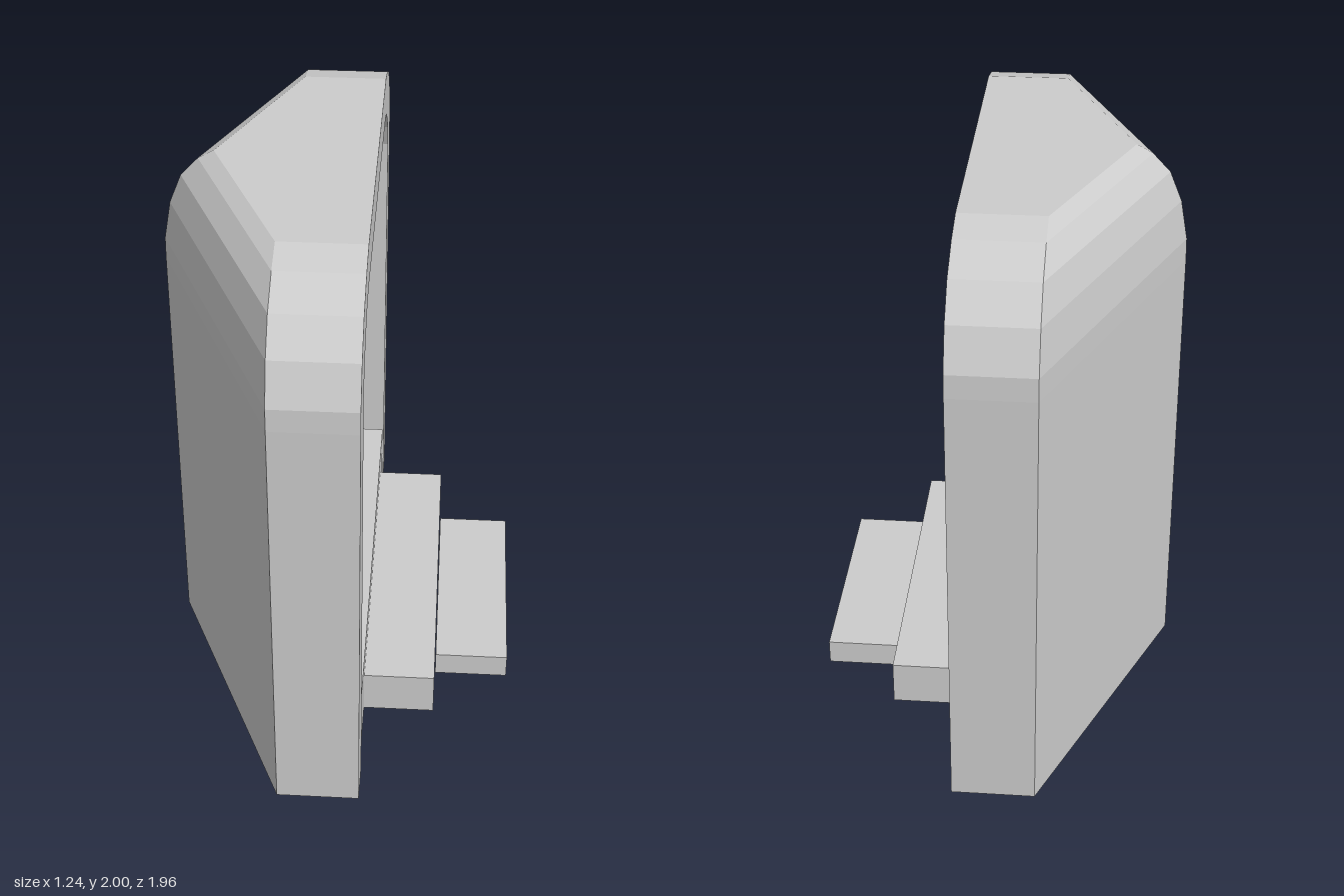
import * as THREE from 'three';

const FRONT = 0.107, SHOULDER = -0.18, SLOPE = 0.449;

// Half-width and height of each level, from the ground to the flat crown
const OUTER = [[0.98, 0], [0.98, 1.58], [0.977, 1.66], [0.923, 1.8], [0.83, 1.905], [0.695, 1.97], [0.573, 2]];
const INNER = [[0.83, 0], [0.83, 1.54], [0.827, 1.61], [0.79, 1.7], [0.725, 1.77], [0.66, 1.82], [0.573, 1.85]];

// Plan of one level: straight sides that meet in a ridge at the back
function ring([w, y]) {
  return [[FRONT, w], [SHOULDER, w], [SHOULDER - SLOPE * w, 0], [SHOULDER, -w], [FRONT, -w]]
    .map(([x, z]) => [x, y, z]);
}

// Hollow arched shell, open at the front and underneath
function shellGeometry() {
  const positions = [];
  const face = (...p) => {
    for (let i = 1; i < p.length - 1; i++) positions.push(...p[0], ...p[i], ...p[i + 1]);
  };
  const outer = OUTER.map(ring), inner = INNER.map(ring);
  const top = outer.length - 1;

  for (let i = 0; i < top; i++) {
    const o = outer[i], o2 = outer[i + 1], n = inner[i], n2 = inner[i + 1];
    for (let j = 0; j < 4; j++) {
      face(o[j], o2[j], o2[j + 1], o[j + 1]); // outside wall
      face(n[j], n[j + 1], n2[j + 1], n2[j]); // inside wall
    }
    face(o[0], n[0], n2[0], o2[0]); // front rim
    face(o[4], o2[4], n2[4], n[4]);
  }
  face(outer[top][0], inner[top][0], inner[top][4], outer[top][4]); // rim over the opening
  face(...[...outer[top]].reverse()); // crown
  face(...inner[top]); // ceiling
  for (let j = 0; j < 4; j++) face(outer[0][j], outer[0][j + 1], inner[0][j + 1], inner[0][j]); // bottom rim

  const geometry = new THREE.BufferGeometry();
  geometry.setAttribute('position', new THREE.Float32BufferAttribute(positions, 3));
  geometry.computeVertexNormals();
  return geometry;
}

export function createModel() {
  const group = new THREE.Group();
  const stone = new THREE.MeshStandardMaterial({ color: 0xcccccc });
  stone.name = 'light grey';

  const add = (name, geometry, x = 0, y = 0, z = 0) => {
    const mesh = new THREE.Mesh(geometry, stone);
    mesh.name = name;
    mesh.position.set(x, y, z);
    group.add(mesh);
  };

  add('shell', shellGeometry());

  // Upright oval ring with a flat panel inside it
  const oval = new THREE.TorusGeometry(0.555, 0.05, 8, 24)
    .rotateZ(Math.PI / 2).rotateY(Math.PI / 2).scale(1, 1.24, 1).toNonIndexed();
  oval.computeVertexNormals();
  add('ovalRing', oval, -0.02, 0.93);
  add('ovalPanel', new THREE.CylinderGeometry(0.55, 0.55, 0.02, 24)
    .rotateZ(Math.PI / 2).scale(1, 1.24, 1), -0.02, 0.93);

  // Three steps, falling and narrowing toward the front: x range, height, width
  const steps = [
    ['topStep', -0.155, 0.104, 0.295, 1.585],
    ['middleStep', 0.104, 0.355, 0.222, 1.19],
    ['bottomStep', 0.358, 0.62, 0.152, 0.795],
  ];
  for (const [name, x0, x1, y1, width] of steps) {
    const y0 = 0.062;
    add(name, new THREE.BoxGeometry(x1 - x0, y1 - y0, width), (x0 + x1) / 2, (y0 + y1) / 2, 0.003);
  }
  return group;
}
